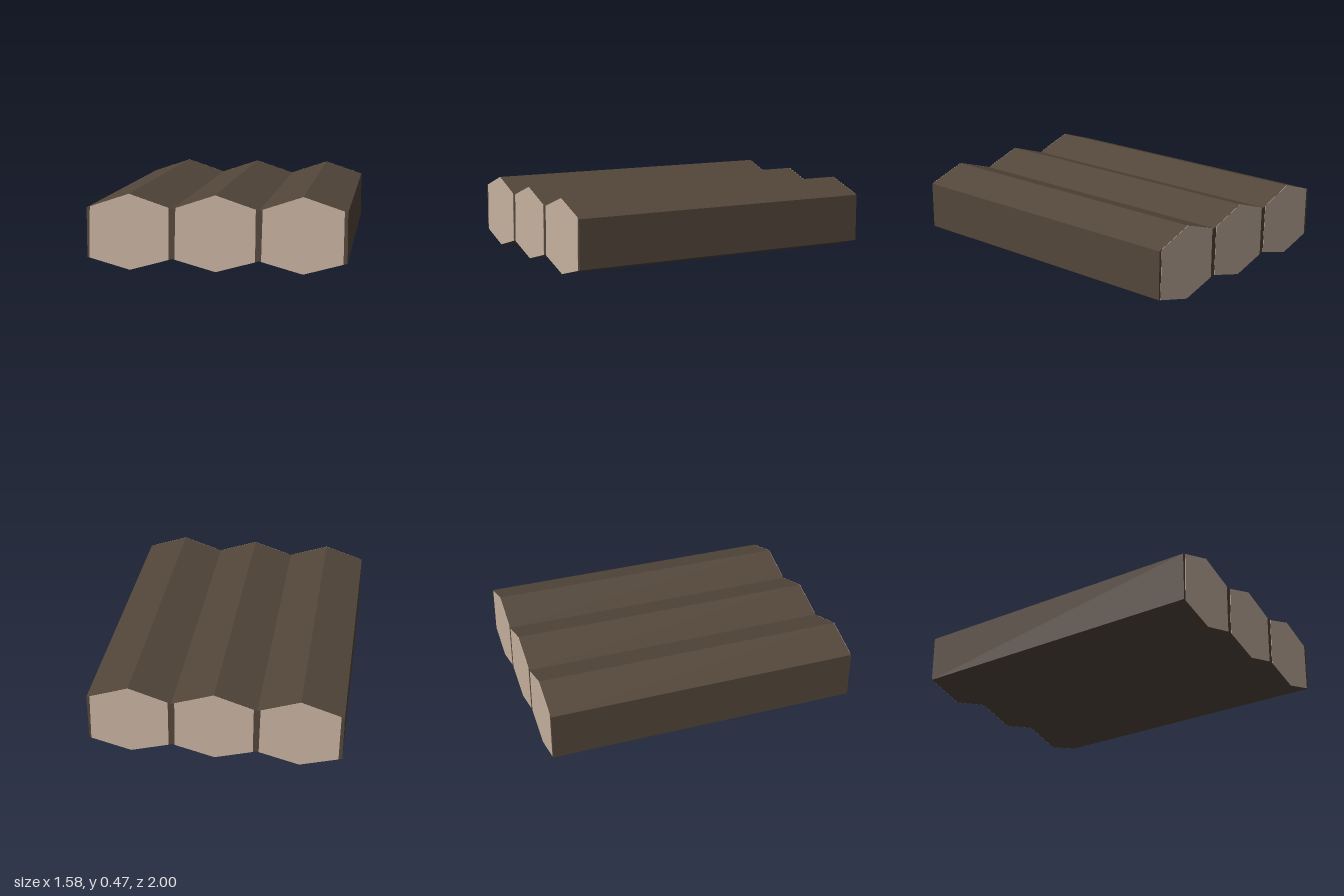
import * as THREE from 'three';

const HALF = 0.263, LOW = 0.073, HIGH = 0.377, PEAK = 0.465, LENGTH = 2;

// Six-sided outline with its side edges moved inwards by the given amounts
function outline(leftLow = 0, leftHigh = 0, rightLow = 0, rightHigh = 0) {
  const bottom = inset => LOW * (1 - inset / HALF);
  const top = inset => HIGH + (PEAK - HIGH) * inset / HALF;
  return new THREE.Shape([
    new THREE.Vector2(0, 0),
    new THREE.Vector2(HALF - rightLow, bottom(rightLow)),
    new THREE.Vector2(HALF - rightHigh, top(rightHigh)),
    new THREE.Vector2(0, PEAK),
    new THREE.Vector2(-HALF + leftHigh, top(leftHigh)),
    new THREE.Vector2(-HALF + leftLow, bottom(leftLow)),
  ]);
}

export function createModel() {
  const model = new THREE.Group();
  model.name = 'logRaft';

  const bark = new THREE.MeshStandardMaterial({ name: 'dark bark', color: 0x53463a });
  const cutWood = new THREE.MeshStandardMaterial({ name: 'pale cut wood', color: 0xc9b3a1 });

  const plate = 0.002;
  const barkGeometry = new THREE.ExtrudeGeometry(outline(), {
    depth: LENGTH - 2 * plate, bevelEnabled: false,
  });
  barkGeometry.translate(0, 0, -LENGTH / 2 + plate);

  // Thin cut faces, leaving a strip of bark down each side
  const endGeometry = new THREE.ExtrudeGeometry(outline(0.012, 0.021, 0.024, 0.02), {
    depth: plate, bevelEnabled: false,
  });
  endGeometry.translate(0, 0, LENGTH / 2 - plate);

  // Three logs side by side
  ['right', 'middle', 'left'].forEach((side, i) => {
    const log = new THREE.Group();
    log.name = `${side}Log`;
    log.position.x = (i - 1) * HALF * 2;

    const body = new THREE.Mesh(barkGeometry, bark);
    body.name = 'bark';
    const front = new THREE.Mesh(endGeometry, cutWood);
    front.name = 'frontCutEnd';
    const back = new THREE.Mesh(endGeometry, cutWood);
    back.name = 'backCutEnd';
    back.rotation.y = Math.PI;

    log.add(body, front, back);
    model.add(log);
  });

  return model;
}
